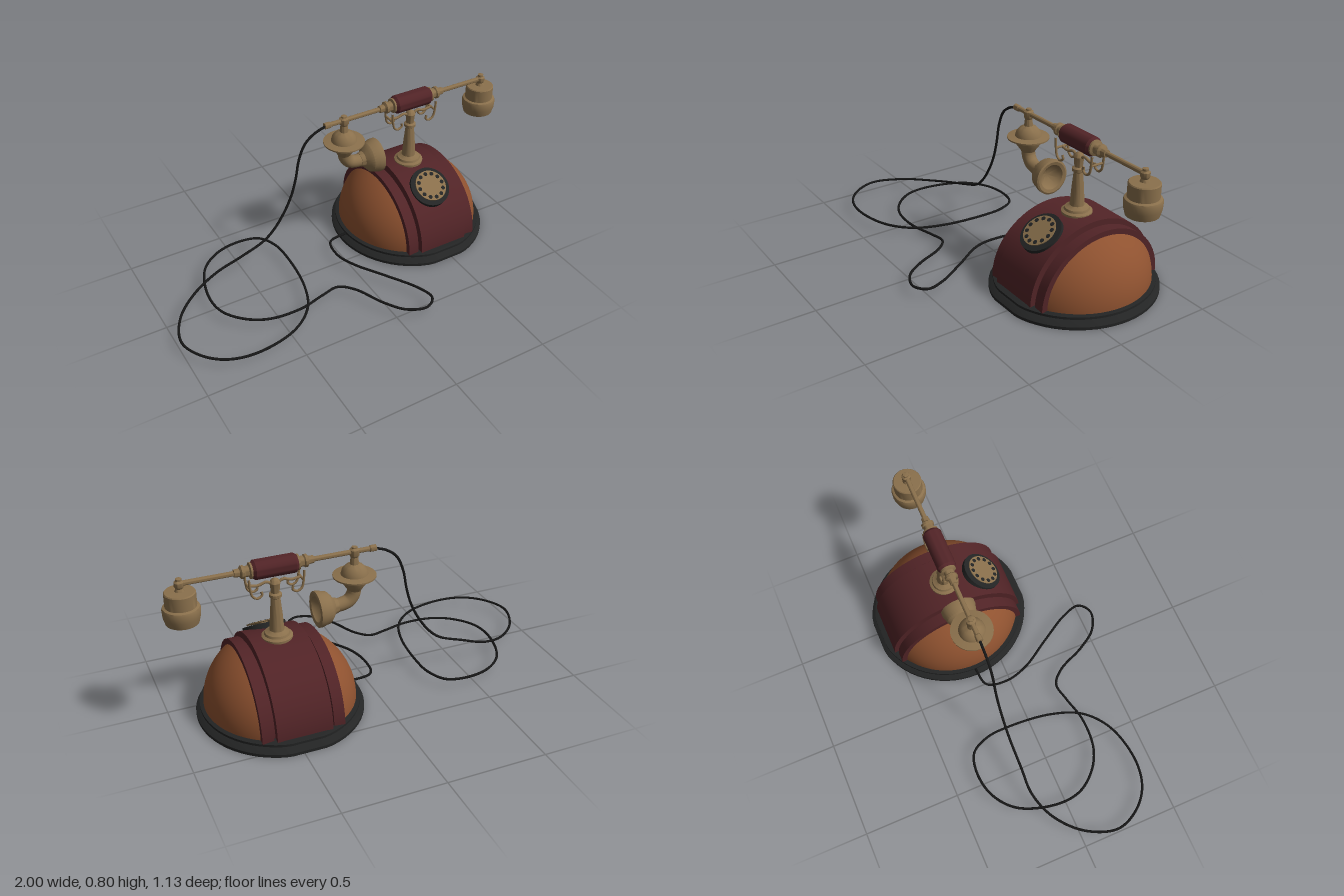
import * as THREE from 'three';
import { toCreasedNormals } from 'three/addons/utils/BufferGeometryUtils.js';

const CX = 0.475, CZ = -0.152, BAR_Y = 0.757;

function material(name, color) {
  const m = new THREE.MeshStandardMaterial({ color });
  m.name = name;
  return m;
}

export function createModel() {
  const model = new THREE.Group();
  model.name = 'antiqueTelephone';
  const brass = material('aged brass', 0x8a704c);
  const wood = material('orange wood', 0x8f5230);
  const red = material('dark red', 0x522427);
  const black = material('black', 0x232424);
  const cordBlack = material('cord black', 0x161616);

  const add = (parent, name, geo, mat, x = 0, y = 0, z = 0) => {
    const mesh = new THREE.Mesh(geo, mat);
    mesh.name = name;
    mesh.position.set(x, y, z);
    parent.add(mesh);
    return mesh;
  };
  const lathe = (pts, seg = 32) => toCreasedNormals(
    new THREE.LatheGeometry(pts.map(p => new THREE.Vector2(p[0], p[1])), seg), 0.6);
  const tube = (pts, r, seg, closed = false) => new THREE.TubeGeometry(
    new THREE.CatmullRomCurve3(pts.map(p => new THREE.Vector3(...p)), closed), seg, r, 8, closed);

  // Body group, centred under the post
  const body = new THREE.Group();
  body.name = 'body';
  body.position.set(CX, 0, CZ);
  model.add(body);

  // Stepped base with hollow underside, slightly flattened front and back
  const baseGeo = new THREE.LatheGeometry([
    [0, 0.03], [0.355, 0.03], [0.375, 0], [0.408, 0], [0.408, 0.015], [0.392, 0.026],
    [0.375, 0.034], [0.388, 0.043], [0.388, 0.055], [0.365, 0.06], [0, 0.06],
  ].map(p => new THREE.Vector2(p[0], p[1])), 64);
  const bp = baseGeo.attributes.position;
  for (let i = 0; i < bp.count; i++) {
    const x = bp.getX(i), z = bp.getZ(i), r = Math.hypot(x, z);
    bp.setZ(i, Math.sign(z) * Math.min(Math.abs(z) * 1.035, r * 1.008));
  }
  add(body, 'base', toCreasedNormals(baseGeo, 0.5), black);

  // Wooden dome sides: ellipsoid caps with their pole along x
  const cap = new THREE.SphereGeometry(1, 40, 20, 0, Math.PI, 0, Math.acos(0.17 / 0.37));
  cap.applyMatrix4(new THREE.Matrix4().makeBasis(
    new THREE.Vector3(0, 0, 1), new THREE.Vector3(1, 0, 0), new THREE.Vector3(0, 1, 0)));
  cap.scale(0.37, 0.345, 0.377);
  add(body, 'leftDome', cap, wood, 0, 0.055, 0);
  add(body, 'rightDome', cap, wood, 0, 0.055, 0).rotation.y = Math.PI;

  // Red arches over the dome
  const arch = (rz, h, width) => {
    const s = new THREE.Shape();
    s.absellipse(0, 0, rz, h, 0, Math.PI, false);
    s.closePath();
    const g = new THREE.ExtrudeGeometry(s, { depth: width, bevelEnabled: false, curveSegments: 32 });
    g.translate(0, 0, -width / 2);
    g.rotateY(Math.PI / 2);
    return toCreasedNormals(g, 0.5);
  };
  add(body, 'centreBand', arch(0.363, 0.34, 0.27), red, 0, 0.055, 0);
  add(body, 'bandGroove', arch(0.328, 0.298, 0.36), red, 0, 0.055, 0);
  for (const s of [-1, 1])
    add(body, s > 0 ? 'leftRim' : 'rightRim', arch(0.345, 0.317, 0.055), red, s * 0.174, 0.055, 0);

  // Rotary dial, tilted towards the user
  const dial = new THREE.Group();
  dial.name = 'dial';
  dial.position.set(CX, 0.332, 0.051);
  dial.rotation.x = 0.59;
  model.add(dial);
  add(dial, 'dialBody', new THREE.CylinderGeometry(0.107, 0.107, 0.03, 40), black);
  add(dial, 'dialSpindle', new THREE.CylinderGeometry(0.02, 0.02, 0.016, 16), brass, 0, 0.02, 0);
  add(dial, 'fingerPlate', new THREE.CylinderGeometry(0.084, 0.084, 0.004, 40), brass, 0, 0.026, 0);
  const hole = new THREE.CylinderGeometry(0.0105, 0.0105, 0.002, 12);
  for (let i = 0; i < 12; i++) {
    const a = i / 12 * Math.PI * 2;
    add(dial, 'fingerHole', hole, black, Math.cos(a) * 0.067, 0.029, Math.sin(a) * 0.067);
  }

  // Post and cradle
  add(body, 'post', lathe([
    [0, 0.375], [0.075, 0.375], [0.075, 0.4], [0.062, 0.407], [0.058, 0.418], [0.045, 0.423],
    [0.036, 0.43], [0.034, 0.445], [0.03, 0.51], [0.022, 0.598], [0.03, 0.604], [0.03, 0.618],
    [0.02, 0.625], [0.023, 0.66], [0.026, 0.675], [0.018, 0.69], [0, 0.7],
  ]), brass);
  for (const s of [-1, 1]) {
    const side = s > 0 ? 'left' : 'right';
    add(body, side + 'CradleArm', tube([[0, 0.66, 0], [s * 0.04, 0.685, 0],
      [s * 0.08, 0.675, 0], [s * 0.125, 0.68, 0]], 0.007, 20), brass);
    add(body, side + 'CradleCrossbar', tube([[s * 0.127, 0.68, -0.035],
      [s * 0.127, 0.68, 0.035]], 0.006, 2), brass);
    for (const z of [-0.035, 0.035])
      add(body, side + 'CradleHook', tube([[s * 0.132, 0.73, z], [s * 0.128, 0.68, z],
        [s * 0.118, 0.642, z], [s * 0.095, 0.628, z], [s * 0.073, 0.642, z],
        [s * 0.078, 0.662, z]], 0.006, 24), brass);
  }

  // Handset bar and grip along x
  const handset = new THREE.Group();
  handset.name = 'handset';
  handset.position.set(0, 0, CZ);
  model.add(handset);
  const alongX = pts => lathe(pts).rotateZ(-Math.PI / 2);
  add(handset, 'bar', alongX([[0, -0.03], [0.016, -0.03], [0.016, 0.0], [0.012, 0.005],
    [0.012, 0.91], [0, 0.915]]), brass, 0, BAR_Y, 0);
  add(handset, 'grip', alongX([[0, -0.11], [0.036, -0.11], [0.047, -0.095], [0.047, 0.095],
    [0.036, 0.11], [0, 0.11]]), red, CX, BAR_Y, 0);
  for (const s of [-1, 1]) {
    const collar = add(handset, s > 0 ? 'leftCollar' : 'rightCollar', alongX([
      [0, 0.1], [0.038, 0.108], [0.038, 0.117], [0.026, 0.122], [0.025, 0.14], [0.031, 0.145],
      [0.031, 0.157], [0.02, 0.165], [0.018, 0.19], [0, 0.195]]), brass, CX, BAR_Y, 0);
    if (s < 0) collar.rotation.y = Math.PI;
  }

  // Cup at the left end, open below
  add(handset, 'cup', lathe([
    [0, 0.6], [0.05, 0.59], [0.068, 0.566], [0.076, 0.566], [0.085, 0.6], [0.087, 0.635],
    [0.083, 0.645], [0.072, 0.65], [0.072, 0.715], [0.068, 0.72], [0.022, 0.722], [0.016, 0.735],
    [0.022, 0.745], [0.022, 0.765], [0.014, 0.772], [0.014, 0.782], [0, 0.786],
  ]), brass, 0.913, 0, 0);

  // Bulb with flange at the right end
  add(handset, 'bulb', lathe([
    [0, 0.545], [0.03, 0.55], [0.04, 0.57], [0.058, 0.595], [0.065, 0.625], [0.105, 0.631],
    [0.105, 0.638], [0.066, 0.643], [0.06, 0.665], [0.042, 0.685], [0.022, 0.695], [0.018, 0.73],
    [0.024, 0.74], [0.024, 0.768], [0.014, 0.775], [0.014, 0.782], [0, 0.786],
  ]), brass, 0.08, 0, 0);

  // Elbow and horn facing the post
  add(handset, 'elbow', new THREE.TubeGeometry(new THREE.CatmullRomCurve3([
    [0.08, 0.57], [0.087, 0.535], [0.11, 0.505], [0.15, 0.492], [0.215, 0.49],
  ].map(p => new THREE.Vector3(p[0], p[1], 0))), 20, 0.034, 20), brass);
  add(handset, 'horn', alongX([
    [0, 0.17], [0.036, 0.17], [0.042, 0.19], [0.062, 0.205], [0.078, 0.22], [0.084, 0.245],
    [0.089, 0.26], [0.089, 0.278], [0.08, 0.282], [0.064, 0.278], [0.055, 0.262], [0.02, 0.24],
    [0, 0.24],
  ]), brass, 0, 0.49, 0);

  // Cord: hangs from the bar (x, y), then loops over the ground (x, z)
  const hanging = [[-0.02, 0.757], [-0.086, 0.733], [-0.14, 0.69], [-0.176, 0.61], [-0.198, 0.503],
    [-0.225, 0.412], [-0.273, 0.316], [-0.337, 0.23], [-0.396, 0.182], [-0.524, 0.134], [-0.66, 0.09]];
  const lying = [[-0.8, -0.1], [-0.93, 0.02], [-0.99, 0.18], [-0.945, 0.3], [-0.85, 0.385],
    [-0.71, 0.417], [-0.5, 0.375], [-0.37, 0.27], [-0.305, 0.11], [-0.28, -0.13], [-0.29, -0.245],
    [-0.34, -0.337], [-0.45, -0.364], [-0.58, -0.337], [-0.69, -0.245], [-0.754, -0.05],
    [-0.74, 0.085], [-0.66, 0.19], [-0.556, 0.246], [-0.396, 0.257], [-0.26, 0.225],
    [-0.166, 0.21], [-0.1, 0.27], [-0.03, 0.42], [0.043, 0.52], [0.14, 0.556], [0.2, 0.51],
    [0.18, 0.42], [0.086, 0.257], [-0.01, 0.1], [-0.04, -0.02], [-0.016, -0.13], [0.11, -0.152]];
  add(model, 'cord', tube([
    ...hanging.map(([x, y]) => [x, y, CZ]),
    ...lying.map(([x, z], i) => [x, i === 0 ? 0.06 : i > 29 ? 0.042 : 0.05, z]),
  ], 0.0065, 400), cordBlack);

  return model;
}
